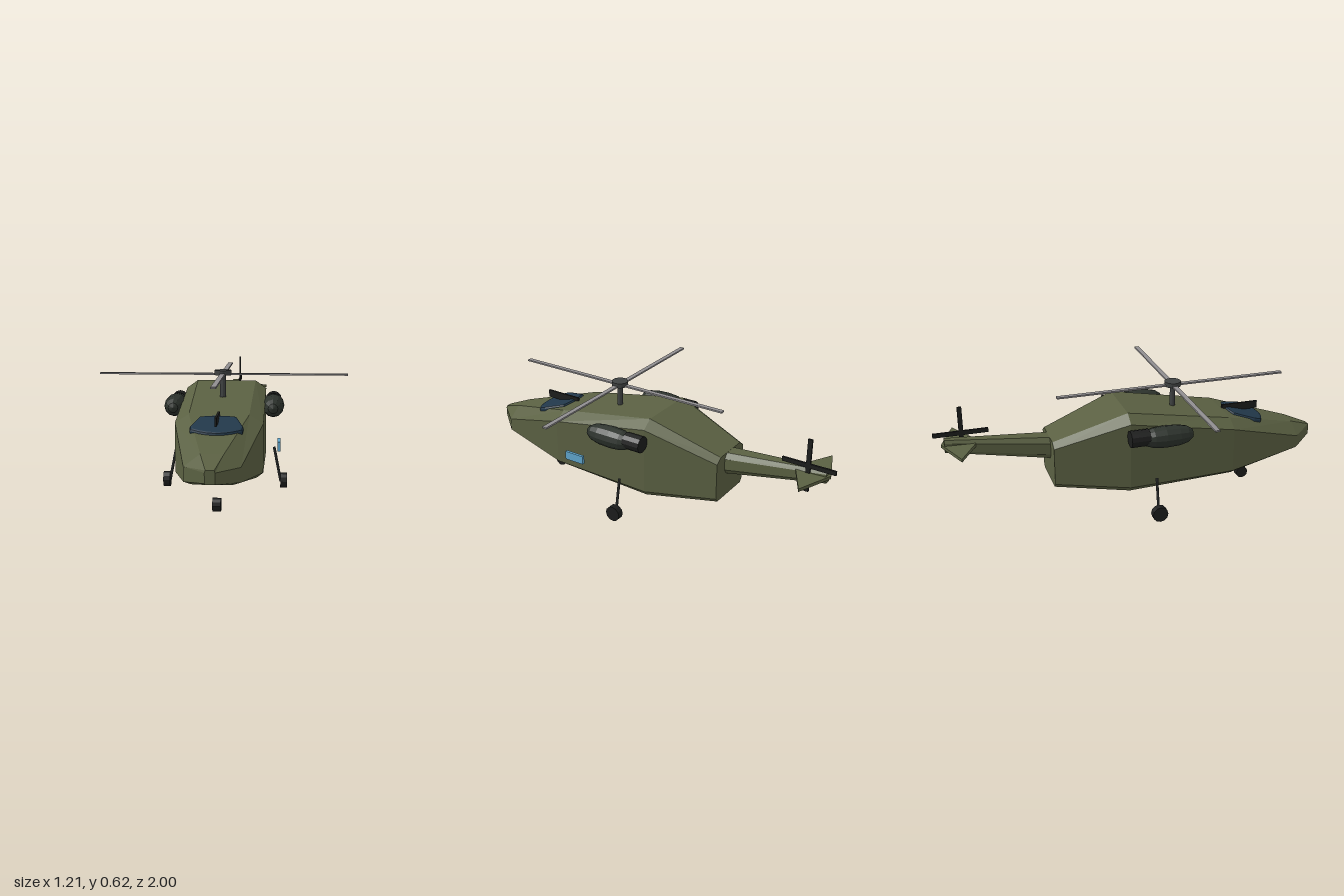
import * as THREE from 'three';

const paint = (color) => new THREE.MeshStandardMaterial({ color, flatShading: true });
const green = paint(0x5a6042), dark = paint(0x2c322c), black = paint(0x1c1d1c);
const steel = paint(0x3f4242), bladeGrey = paint(0x908e90), glass = paint(0x22384a), blue = paint(0x5fa5cc);

// Eight-sided section, counter-clockwise seen from the front
function section([z, w, topW, botW, bot, low, shoulder, top]) {
  return [[w, low], [w, shoulder], [topW, top], [-topW, top], [-w, shoulder], [-w, low], [-botW, bot], [botW, bot]]
    .map(([x, y]) => [x, y, z]);
}

// Closed skin through sections listed from front to back
function loft(rows) {
  const rings = rows.map(section), n = 8, pos = [];
  const tri = (a, b, c) => pos.push(...a, ...b, ...c);
  for (let r = 0; r < rings.length - 1; r++) {
    for (let i = 0; i < n; i++) {
      const j = (i + 1) % n, f = rings[r], k = rings[r + 1];
      tri(f[i], k[i], k[j]);
      tri(f[i], k[j], f[j]);
    }
  }
  const first = rings[0], last = rings[rings.length - 1];
  for (let i = 1; i < n - 1; i++) {
    tri(first[0], first[i], first[i + 1]);
    tri(last[0], last[i + 1], last[i]);
  }
  const g = new THREE.BufferGeometry();
  g.setAttribute('position', new THREE.Float32BufferAttribute(pos, 3));
  g.computeVertexNormals();
  return g;
}

export function createModel() {
  const model = new THREE.Group();
  const add = (name, geo, mat, x = 0, y = 0, z = 0, parent = model) => {
    const m = new THREE.Mesh(geo, mat);
    m.name = name;
    m.position.set(x, y, z);
    parent.add(m);
    return m;
  };
  const box = (w, h, d) => new THREE.BoxGeometry(w, h, d);

  // Fuselage and tail boom: z, half width, top and bottom half widths, then heights
  add('fuselage', loft([
    [1.0, 0.022, 0.018, 0.018, 0.225, 0.23, 0.275, 0.285],
    [0.88, 0.122, 0.05, 0.09, 0.2, 0.21, 0.275, 0.33],
    [0.48, 0.205, 0.14, 0.175, 0.145, 0.168, 0.4, 0.44],
    [-0.07, 0.205, 0.15, 0.185, 0.13, 0.155, 0.5, 0.54],
    [-0.44, 0.13, 0.095, 0.115, 0.175, 0.195, 0.385, 0.41],
  ]), green);
  add('tailBoom', loft([
    [-0.42, 0.055, 0.035, 0.035, 0.293, 0.32, 0.38, 0.408],
    [-0.95, 0.024, 0.014, 0.014, 0.39, 0.405, 0.44, 0.455],
  ]), green);

  // Diamond tailplane
  const plan = new THREE.Shape();
  [[0.03, 0.8], [0.19, 0.89], [0, 0.965], [-0.19, 0.89], [-0.03, 0.8]]
    .forEach(([x, y], i) => (i ? plan.lineTo(x, y) : plan.moveTo(x, y)));
  const tailplane = new THREE.ExtrudeGeometry(plan, { depth: 0.016, bevelEnabled: false });
  tailplane.rotateX(-Math.PI / 2);
  add('tailplane', tailplane, green, 0, 0.412, 0);

  // Canopy lying on the sloping nose, outline drawn with forward = -y
  const outline = new THREE.Shape();
  outline.moveTo(-0.075, 0.08);
  outline.quadraticCurveTo(0, 0.1, 0.075, 0.08);
  outline.lineTo(0.108, -0.02);
  outline.lineTo(0.105, -0.05);
  outline.quadraticCurveTo(0, -0.12, -0.105, -0.05);
  outline.lineTo(-0.108, -0.02);
  const canopyGeo = new THREE.ExtrudeGeometry(outline, {
    depth: 0.02, bevelThickness: 0.01, bevelSize: 0.012, bevelSegments: 2, curveSegments: 6,
  });
  canopyGeo.rotateX(-Math.PI / 2);
  const canopy = add('canopy', canopyGeo, glass, 0, 0.387, 0.605);
  canopy.rotation.x = 0.27;
  add('canopyFin', box(0.01, 0.04, 0.2), black, 0, 0.435, 0.59);

  // Side window panel
  add('sideWindow', box(0.014, 0.044, 0.11), blue, 0.276, 0.271, 0.31);

  // Main rotor
  const rotor = new THREE.Group();
  rotor.name = 'mainRotor';
  rotor.position.set(0, 0.603, 0.215);
  model.add(rotor);
  add('mast', new THREE.CylinderGeometry(0.014, 0.014, 0.13, 12), steel, 0, -0.05, 0, rotor);
  add('hub', new THREE.CylinderGeometry(0.042, 0.042, 0.024, 16), steel, 0, 0.005, 0, rotor);
  for (let i = 0; i < 2; i++) {
    const blade = add('rotorBlades', box(1.21, 0.008, 0.024), bladeGrey, 0, -0.002, 0, rotor);
    blade.rotation.y = i * Math.PI / 2;
  }

  // Tail rotor
  add('tailRotorBladeUpright', box(0.01, 0.27, 0.022), black, 0.03, 0.465, -0.862);
  add('tailRotorBladeLevel', box(0.01, 0.022, 0.27), black, 0.03, 0.465, -0.865);

  // Engine pod profile: radius, distance along z
  const podProfile = [[0, -0.01], [0.036, -0.01], [0.05, 0.03], [0.055, 0.09], [0.052, 0.16], [0.042, 0.205], [0.024, 0.232], [0, 0.24]]
    .map(([r, h]) => new THREE.Vector2(r, h));

  for (const side of [1, -1]) {
    const label = side > 0 ? 'left' : 'right';
    // Engine and exhaust
    const pod = new THREE.LatheGeometry(podProfile, 12);
    pod.rotateX(Math.PI / 2);
    add(label + 'Engine', pod, dark, side * 0.245, 0.434, 0);
    const pipe = new THREE.CylinderGeometry(0.042, 0.042, 0.095, 12);
    pipe.rotateX(Math.PI / 2);
    add(label + 'Exhaust', pipe, black, side * 0.244, 0.442, -0.04);

    // Main landing leg, leaning outwards to the wheel
    const from = new THREE.Vector3(side * 0.25, 0.212, 0.05), to = new THREE.Vector3(side * 0.285, 0.035, 0.05);
    const dir = from.clone().sub(to);
    const leg = add(label + 'Leg', new THREE.CylinderGeometry(0.007, 0.007, dir.length(), 8), steel);
    leg.position.copy(from).add(to).multiplyScalar(0.5);
    leg.quaternion.setFromUnitVectors(new THREE.Vector3(0, 1, 0), dir.normalize());
    const wheel = new THREE.CylinderGeometry(0.04, 0.04, 0.034, 12);
    wheel.rotateZ(Math.PI / 2);
    add(label + 'Wheel', wheel, black, side * 0.3, 0.04, 0.05);
  }

  // Nose wheel
  const noseWheel = new THREE.CylinderGeometry(0.032, 0.032, 0.038, 12);
  noseWheel.rotateZ(Math.PI / 2);
  add('noseWheel', noseWheel, black, 0, 0.048, 0.62);

  return model;
}
